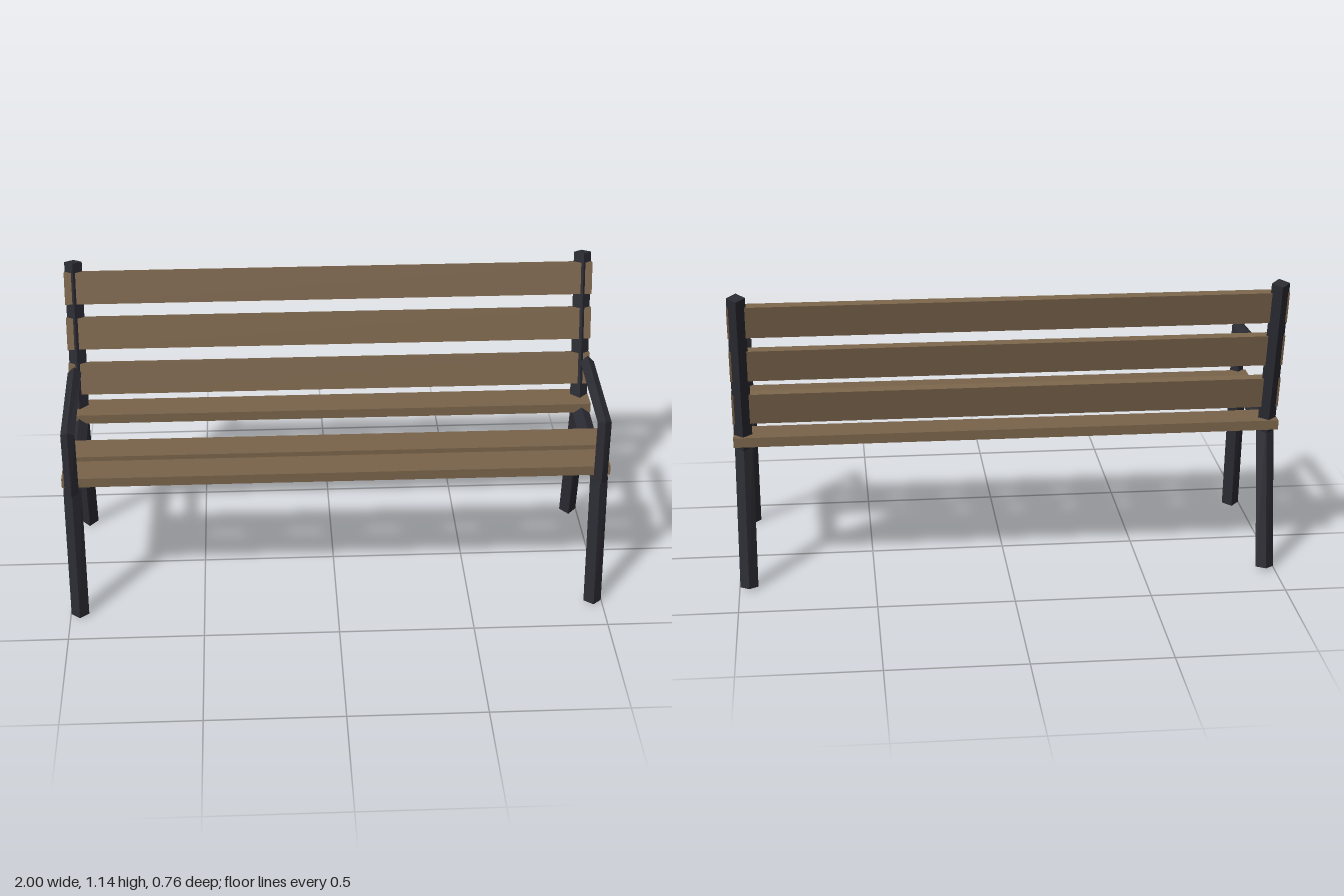
import * as THREE from 'three';

const steel = new THREE.MeshStandardMaterial({ color: 0x2b2b33 });
steel.name = 'dark steel';
const wood = new THREE.MeshStandardMaterial({ color: 0x79634a });
wood.name = 'brown wood';

// Square bar set on its corner, swept along [z, y] points in the plane x = 0
function barGeometry(path, radius) {
  const pts = path.map(([z, y]) => new THREE.Vector3(0, y, z));
  const rings = pts.map((p, i) => {
    const t = new THREE.Vector3();
    if (i > 0) t.add(p.clone().sub(pts[i - 1]).normalize());
    if (i < pts.length - 1) t.add(pts[i + 1].clone().sub(p).normalize());
    t.normalize();
    const a = new THREE.Vector3(radius, 0, 0);
    const b = new THREE.Vector3(0, t.z, -t.y).multiplyScalar(radius);
    return [p.clone().add(a), p.clone().add(b), p.clone().sub(a), p.clone().sub(b)];
  });
  const tris = [];
  const quad = (a, b, c, d) => tris.push(a, b, c, a, c, d);
  for (let i = 0; i < rings.length - 1; i++) {
    for (let j = 0; j < 4; j++) {
      const k = (j + 1) % 4;
      quad(rings[i][j], rings[i][k], rings[i + 1][k], rings[i + 1][j]);
    }
  }
  quad(...[...rings[0]].reverse());
  quad(...rings[rings.length - 1]);
  const geometry = new THREE.BufferGeometry().setFromPoints(tris);
  geometry.computeVertexNormals();
  return geometry;
}

export function createModel() {
  const bench = new THREE.Group();
  bench.name = 'bench';

  // Steel side frames, mirrored left and right
  const bars = [
    ['legsAndSeatRail', [[0.345, 0.003], [0.296, 0.519], [-0.2, 0.543], [-0.297, 0.006]], 0.033],
    ['backPost', [[-0.214, 0.528], [-0.346, 1.131]], 0.033],
    ['armrest', [[0.323, 0.52], [0.323, 0.766], [-0.097, 0.791]], 0.0255],
  ].map(([name, path, radius]) => [name, barGeometry(path, radius)]);
  for (const [side, x] of [['left', 0.965], ['right', -0.965]]) {
    const frame = new THREE.Group();
    frame.name = side + 'Frame';
    frame.position.x = x;
    for (const [name, geometry] of bars) {
      const mesh = new THREE.Mesh(geometry, steel);
      mesh.name = name;
      frame.add(mesh);
    }
    bench.add(frame);
  }

  // Seat slats
  const seatSlat = new THREE.BoxGeometry(2, 0.036, 0.123);
  for (const z of [0.258, 0.105, -0.204]) {
    const slat = new THREE.Mesh(seatSlat, wood);
    slat.name = 'seatSlat';
    slat.position.set(0, 0.562, z);
    bench.add(slat);
  }

  // Backrest slats, leaning with the posts
  const backSlat = new THREE.BoxGeometry(2, 0.122, 0.03);
  for (const [y, z] of [[0.689, -0.24], [0.864, -0.278], [1.037, -0.315]]) {
    const slat = new THREE.Mesh(backSlat, wood);
    slat.name = 'backSlat';
    slat.position.set(0, y, z);
    slat.rotation.x = -0.215;
    bench.add(slat);
  }
  return bench;
}
